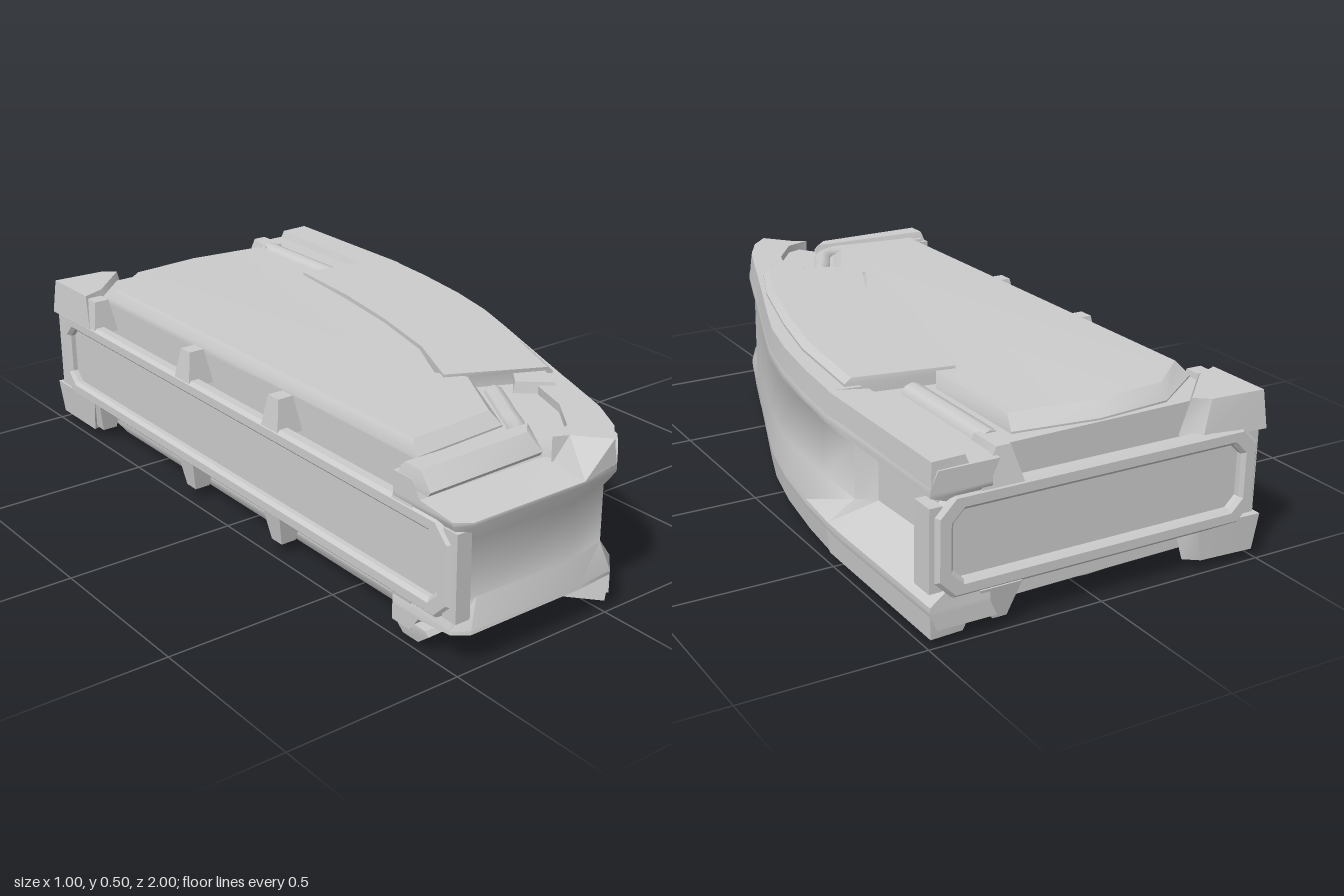
import * as THREE from 'three';
import { toCreasedNormals } from 'three/addons/utils/BufferGeometryUtils.js';

const material = new THREE.MeshStandardMaterial({ color: 0xcccccc, side: THREE.DoubleSide });

// Stacks [outline, y] layers from bottom to top; outlines are lists of [x, z].
function loft(layers, crease = 0.6) {
  const n = layers[0][0].length, pos = [], index = [];
  for (const [pts, y] of layers) for (const [x, z] of pts) pos.push(x, y, z);
  for (let l = 0; l < layers.length - 1; l++) {
    for (let i = 0; i < n; i++) {
      const a = l * n + i, b = l * n + (i + 1) % n;
      index.push(a, b, b + n, a, b + n, a + n);
    }
  }
  const cap = (l, up) => {
    const p = layers[l][0], o = l * n;
    for (const [a, b, c] of THREE.ShapeUtils.triangulateShape(p.map(q => new THREE.Vector2(...q)), [])) {
      const ny = (p[b][1] - p[a][1]) * (p[c][0] - p[a][0]) - (p[b][0] - p[a][0]) * (p[c][1] - p[a][1]);
      index.push(o + a, ...((ny > 0) === up ? [o + b, o + c] : [o + c, o + b]));
    }
  };
  cap(0, false);
  cap(layers.length - 1, true);
  const g = new THREE.BufferGeometry();
  g.setAttribute('position', new THREE.Float32BufferAttribute(pos, 3));
  g.setIndex(index);
  return toCreasedNormals(g, crease);
}

// Rectangle with cut corners, as a shape or a hole.
function cutRect(w, h, c, Type = THREE.Shape) {
  const p = [[-w + c, -h], [w - c, -h], [w, -h + c], [w, h - c], [w - c, h], [-w + c, h], [-w, h - c], [-w, -h + c]];
  return new Type(p.map(q => new THREE.Vector2(...q)));
}

export function createModel() {
  const root = new THREE.Group();
  const add = (name, geo, x = 0, y = 0, z = 0, parent = root) => {
    const m = new THREE.Mesh(geo, material);
    m.name = name;
    m.position.set(x, y, z);
    parent.add(m);
    return m;
  };
  // Mirrors layers across the middle plane.
  const flip = layers => layers.map(([p, y]) => [p, 0.5 - y]).reverse();
  const slabPair = (name, layers) => {
    add(name + 'Top', loft(layers));
    add(name + 'Bottom', loft(flip(layers)));
  };

  // Hull: full rims above and below a waist that is recessed at the nose and rear corner
  const wall = [[.215, .61], [.255, .5], [.31, .35], [.365, .2], [.41, .07], [.45, -.1], [.48, -.3], [.495, -.46]];
  const waist = [[.215, .61], [.25, .5], [.3, .35], [.35, .2], [.388, .07], [.415, -.1], [.425, -.3], [.425, -.48]];
  const rim = [[-.5, .97], [-.46, 1], [-.1, 1], [.02, .99], [.08, .93], [.14, .82], [.205, .64], ...wall,
    [.497, -.55], [.497, -1], [.33, -1], [.33, -.935], [-.42, -.92], [-.42, .75], [-.5, .75]];
  const inner = [[-.46, .95], [-.41, .96], [-.1, .965], [.03, .94], [.07, .87], [.105, .77], [.14, .64], ...waist,
    [.375, -.52], [.36, -.96], [.33, -.95], [.32, -.935], [-.42, -.92], [-.42, .75], [-.46, .75]];
  // Front edge of the rim pulled back to the given depth
  const setBack = (z, inset) => rim.map(([x, rz], i) => (i < 3 ? [x, z] : [x > .1 ? x - inset : x, rz]));
  const upper = [[inner, .33], [rim, .39], [rim, .4], [setBack(.85, 0), .412], [setBack(.82, .02), .455]];
  add('hull', loft([...flip(upper), ...upper], 0.85));

  // Raised edge running from the nose corner along the curved side
  const edge = [[-.1, 1], [.02, .99], [.08, .93], [.14, .82], [.205, .64], ...wall,
    [.4, -.48], [.4, -.3], [.37, -.1], [.335, .07], [.3, .2], [.24, .35], [.17, .52], [.1, .62], [.06, .74],
    [-.02, .85], [-.1, .88]];
  const edgeTop = edge.map(([x, z], i) => (i === 0 ? [-.06, .9] : i < 13 ? [x - .008, z - .005] : [x, z]));
  slabPair('sideEdge', [[edge, .4], [edgeTop, .478]]);

  // Main deck plates
  const plate = [[-.42, .74], [-.12, .72], [-.01, .5], [-.06, .42], [.02, .25], [.08, 0], [.12, -.25], [.15, -.5],
    [.21, -.53], [.21, -.89], [-.03, -.92], [-.25, -.9], [-.42, -.78]];
  const plateTop = plate.map(([x, z]) => [x < -.4 ? -.4 : x - .015, z * .95]);
  slabPair('deckPlate', [[plate, .44], [plate, .46], [plateTop, .492]]);

  // Curved armour blades over the outer side
  const blade = [[-.08, .44], [.2, .57], [.28, .37], [.36, .08], [.41, -.15], [.44, -.46],
    [.14, -.51], [.115, -.25], [.07, 0], [.01, .24]];
  const bladeTop = blade.map(([x, z], i) => [i > 0 && i < 6 ? x - .02 : x, z]);
  slabPair('armourBlade', [[blade, .45], [blade, .485], [bladeTop, .5]]);

  // Wedge at the front tip of each blade
  slabPair('bladeWedge', [
    [[[.05, .57], [.15, .66], [.2, .55], [.1, .52]], .44],
    [[[.06, .57], [.14, .64], [.18, .56], [.1, .52]], .487]]);

  // Raised nose lips with an open slot in front
  slabPair('noseLip', [
    [[[-.5, .88], [-.13, .87], [-.08, .78], [-.5, .76]], .432],
    [[[-.5, .89], [-.13, .88], [-.08, .78], [-.5, .76]], .445],
    [[[-.49, .84], [-.14, .83], [-.1, .79], [-.49, .78]], .484]]);

  // Rear arms, corner gussets and the bridges to the rear frame
  slabPair('rearArm', [
    [[[.36, -.5], [.495, -.45], [.497, -1], [.37, -1]], .4],
    [[[.39, -.5], [.49, -.46], [.492, -.995], [.4, -.99]], .478]]);
  slabPair('rearGusset', [
    [[[-.4, -.78], [-.27, -.93], [-.3, -.99], [-.5, -1], [-.5, -.76]], .37],
    [[[-.42, -.82], [-.29, -.95], [-.33, -.98], [-.49, -.99], [-.49, -.79]], .475]]);
  slabPair('rearBridge', [
    [[[.22, -.86], [.33, -.86], [.36, -1], [.24, -1]], .38],
    [[[.25, -.88], [.31, -.88], [.31, -.98], [.27, -.98]], .475]]);

  // Round pipes in the nose groove and beside the rear deck
  const nosePath = new THREE.CatmullRomCurve3([[-.45, .79], [-.28, .79], [-.12, .77], [-.05, .66], [.02, .53]]
    .map(([x, z]) => new THREE.Vector3(x, 0, z)));
  for (const y of [.445, .055]) {
    add('nosePipe', new THREE.TubeGeometry(nosePath, 24, .03, 8), 0, y, 0);
    add('rearPipe', new THREE.CylinderGeometry(.036, .036, .38, 10), .275, y, -.71).rotation.x = Math.PI / 2;
  }

  // Chamfered window frames with inset panels on the flat side and the rear
  const windowFrame = (name, length) => {
    const g = new THREE.Group();
    g.name = name;
    const shape = cutRect(length / 2, .135, .05);
    shape.holes.push(cutRect(length / 2 - .05, .09, .03, THREE.Path));
    add(name + 'Rim', new THREE.ExtrudeGeometry(shape, {
      depth: .025, bevelThickness: .01, bevelSize: .01, bevelOffset: -.01, bevelSegments: 1
    }), 0, 0, -.035, g);
    add(name + 'Panel', new THREE.ExtrudeGeometry(cutRect(length / 2 - .04, .11, .03),
      { depth: .01, bevelEnabled: false }), 0, 0, -.035, g);
    root.add(g);
    return g;
  };
  const side = windowFrame('sideFrame', 1.92);
  side.position.set(-.5, .25, 0);
  side.rotation.y = -Math.PI / 2;
  const rear = windowFrame('rearFrame', .96);
  rear.position.set(0, .25, -1);
  rear.rotation.y = Math.PI;

  // End posts closing the frames
  for (const z of [.955, -.955]) add('cornerPost', new THREE.BoxGeometry(.045, .24, .05), -.47, .25, z);
  add('rearPost', new THREE.BoxGeometry(.035, .22, .07), .477, .25, -.955);

  // Faceted clips joining the side frame to the hull
  for (const up of [1, -1]) {
    for (const z of [-.22, .22, -.77, .78]) {
      const clip = add('sideClip', new THREE.CylinderGeometry(.033, .058, .1, 4, 1).rotateY(Math.PI / 4)
        .toNonIndexed(), -.459, .25 + up * .165, z);
      clip.geometry.computeVertexNormals();
      if (up < 0) clip.rotation.x = Math.PI;
    }
  }
  return root;
}
